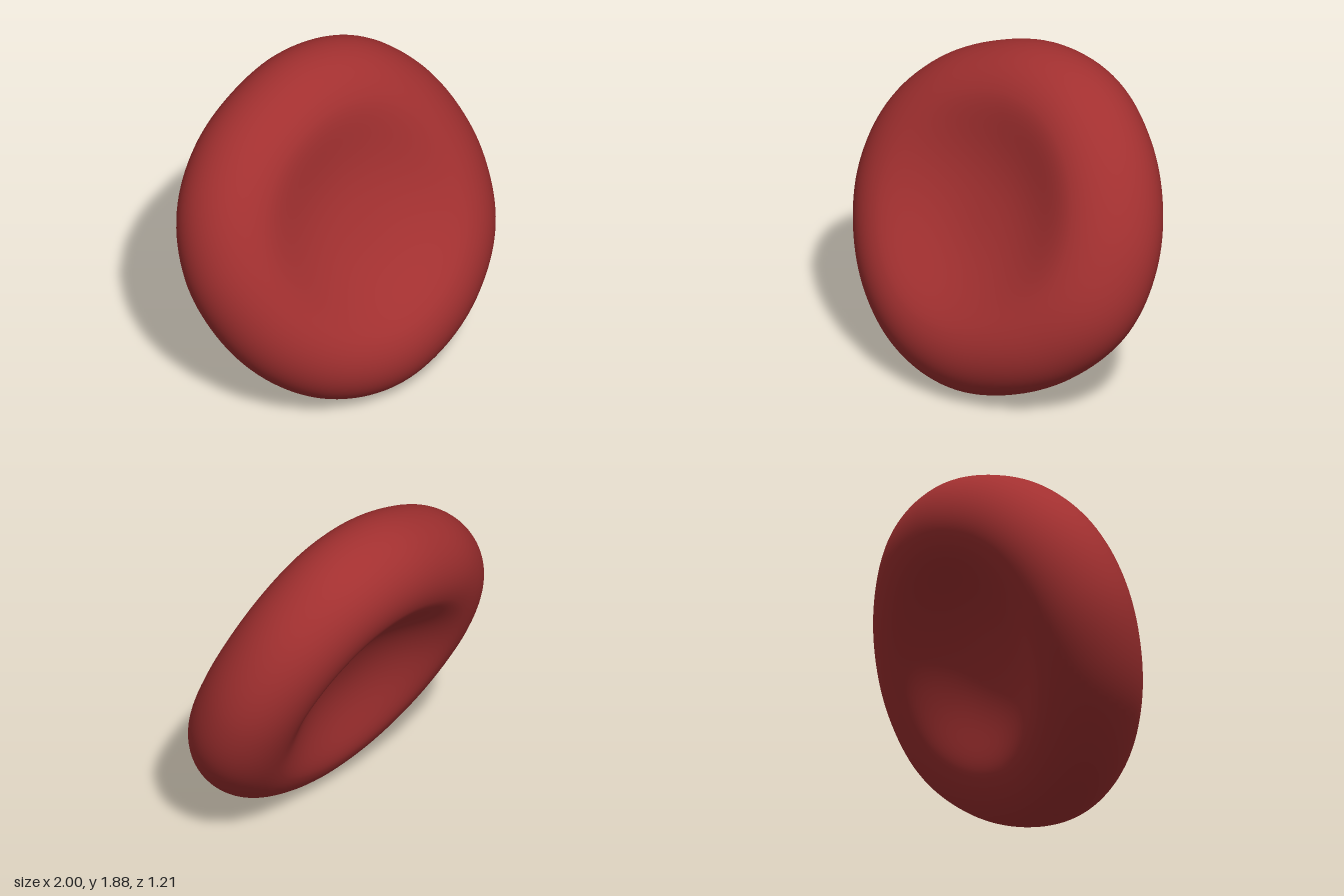
import * as THREE from 'three';
import { mergeVertices } from 'three/addons/utils/BufferGeometryUtils.js';

const TUBE = 0.316; // half thickness of the rim
const RING = 0.688; // radius where the rim is thickest
// slightly uneven outline: radius factor every 22.5 degrees, from +x towards the top
const OUTLINE = [0.992, 0.978, 0.99, 1.014, 1.0, 0.976, 0.99, 1.008,
  1.0, 0.98, 0.982, 0.996, 1.0, 0.986, 0.994, 1.012];

// smooth periodic interpolation of the outline factors
function outlineAt(angle) {
  const n = OUTLINE.length;
  const t = ((angle / (2 * Math.PI)) * n + n) % n;
  const i = Math.floor(t), f = t - i;
  const [a, b, c, d] = [-1, 0, 1, 2].map((k) => OUTLINE[(i + k + n) % n]);
  return b + 0.5 * f * (c - a + f * (2 * a - 5 * b + 4 * c - d + f * (3 * (b - c) + d - a)));
}

// dimple surface from the centre out to the top of the rim: a bowl with a steeper wall
function dimple(centre, side) {
  const pts = [];
  for (let i = 0; i <= 32; i++) {
    const t = i / 32;
    const s = Math.sin((Math.PI / 2) * t ** 2.3);
    pts.push(new THREE.Vector2(RING * t, side * (centre + (TUBE - centre) * s)));
  }
  return pts;
}

export function createModel() {
  const red = new THREE.MeshStandardMaterial({ color: 0xa23030 });
  red.name = 'deep red';

  // profile: back dimple, round rim, front dimple
  const profile = dimple(0.125, -1);
  for (let i = 1; i < 32; i++) {
    const a = -Math.PI / 2 + (Math.PI * i) / 32;
    profile.push(new THREE.Vector2(RING + TUBE * Math.cos(a), TUBE * Math.sin(a)));
  }
  profile.push(...dimple(0.175, 1).reverse());

  let geo = new THREE.LatheGeometry(profile, 128);
  const p = geo.attributes.position;
  for (let i = 0; i < p.count; i++) {
    const x = p.getX(i), y = p.getY(i), z = p.getZ(i), r = Math.hypot(x, z);
    // scale outwards to the uneven outline
    const k = 1 + (outlineAt(Math.atan2(-z, x)) - 1) * THREE.MathUtils.smoothstep(r, 0, 0.9);
    // bend the left rim slightly back, its front face more than its back face
    const bend = -(0.06 + (0.02 * y) / TUBE) * Math.max(0, x) ** 2;
    p.setXYZ(i, x * k, y + bend, z * k);
  }

  // weld the seam so the shading is smooth all round
  geo.deleteAttribute('uv');
  geo.deleteAttribute('normal');
  geo = mergeVertices(geo, 1e-5);
  geo.computeVertexNormals();

  const cell = new THREE.Mesh(geo, red);
  cell.name = 'dimpledDisc';
  cell.rotation.x = THREE.MathUtils.degToRad(65); // front face leans back
  cell.position.y = 0.937;

  const group = new THREE.Group();
  group.name = 'bloodCell';
  group.add(cell);
  return group;
}
